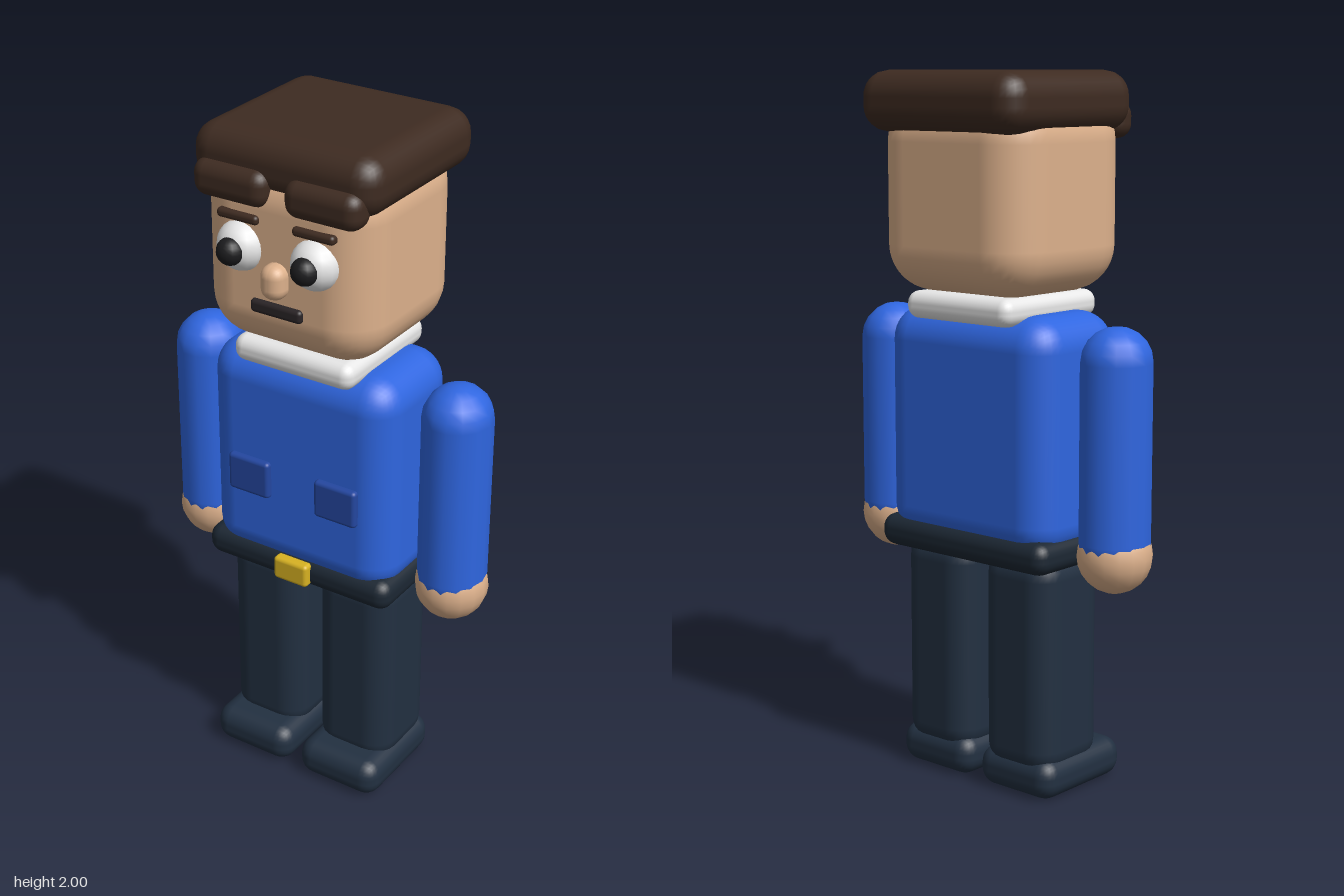
import * as THREE from 'three';
import { RoundedBoxGeometry } from 'three/addons/geometries/RoundedBoxGeometry.js';

export function createModel() {
  const model = new THREE.Group();
  model.name = 'blockFigure';

  const paint = (name, color) => {
    const m = new THREE.MeshStandardMaterial({ color });
    m.name = name;
    return m;
  };
  const skin = paint('skin', 0xddb18c);
  const hairBrown = paint('hairBrown', 0x3e2b21);
  const shirtBlue = paint('shirtBlue', 0x2f66e0);
  const pocketBlue = paint('pocketBlue', 0x2447a0);
  const trouserNavy = paint('trouserNavy', 0x223041);
  const beltNavy = paint('beltNavy', 0x1c2733);
  const white = paint('white', 0xe8e8e8);
  const black = paint('black', 0x1c1c1e);
  const gold = paint('gold', 0xd8b222);
  const mouthDark = paint('mouthDark', 0x2a2426);

  const add = (name, geometry, material, x, y, z) => {
    const mesh = new THREE.Mesh(geometry, material);
    mesh.name = name;
    mesh.position.set(x, y, z);
    model.add(mesh);
    return mesh;
  };
  // Rounded block given by its extents along each axis
  const block = (name, material, [x0, x1], [y0, y1], [z0, z1], radius, segments = 3) =>
    add(name, new RoundedBoxGeometry(x1 - x0, y1 - y0, z1 - z0, segments, radius),
      material, (x0 + x1) / 2, (y0 + y1) / 2, (z0 + z1) / 2);
  const ball = (name, material, radius, x, y, z) =>
    add(name, new THREE.SphereGeometry(radius, 16, 12), material, x, y, z);

  // Head and hair
  block('head', skin, [-0.268, 0.268], [1.4, 1.94], [-0.268, 0.226], 0.13, 4);
  block('hair', hairBrown, [-0.285, 0.285], [1.835, 2], [-0.308, 0.222], 0.07);
  block('nose', skin, [-0.036, 0.036], [1.582, 1.68], [0.19, 0.272], 0.034);
  block('mouth', mouthDark, [-0.08, 0.08], [1.526, 1.564], [0.2, 0.24], 0.012);

  // Torso, collar, belt and buckle
  block('torso', shirtBlue, [-0.297, 0.297], [0.69, 1.353], [-0.2, 0.16], 0.095, 4);
  block('collar', white, [-0.19, 0.19], [1.325, 1.402], [-0.218, 0.176], 0.034);
  block('belt', beltNavy, [-0.305, 0.305], [0.66, 0.752], [-0.21, 0.165], 0.04);
  block('buckle', gold, [-0.056, 0.056], [0.673, 0.744], [0.15, 0.186], 0.012);

  for (const [side, s] of [['left', 1], ['right', -1]]) {
    const span = (a, b) => (s > 0 ? [a, b] : [-b, -a]);

    // Face details
    block(side + 'Fringe', hairBrown, span(0.026, 0.255), [1.815, 1.918], [0.16, 0.252], 0.04);
    block(side + 'Eyebrow', hairBrown, span(0.053, 0.18), [1.77, 1.796], [0.2, 0.24], 0.011);
    ball(side + 'Eye', white, 0.07, s * 0.115, 1.7, 0.212);
    ball(side + 'Pupil', black, 0.038, s * 0.115, 1.7, 0.268);

    // Chest pocket
    block(side + 'Pocket', pocketBlue, span(0.075, 0.21), [0.918, 1.032], [0.14, 0.178], 0.012);

    // Arm and hand
    const arm = add(side + 'Arm', new THREE.CapsuleGeometry(0.097, 0.486, 5, 14), shirtBlue,
      s * 0.408, 0.995, -0.023);
    arm.scale.z = 1.07;
    ball(side + 'Hand', skin, 0.104, s * 0.408, 0.712, -0.023);

    // Leg and shoe
    block(side + 'Leg', trouserNavy, span(0.027, 0.273), [0.06, 0.7], [-0.155, 0.11], 0.075);
    block(side + 'Shoe', trouserNavy, span(0.017, 0.285), [0, 0.116], [-0.155, 0.188], 0.05);
  }
  return model;
}
